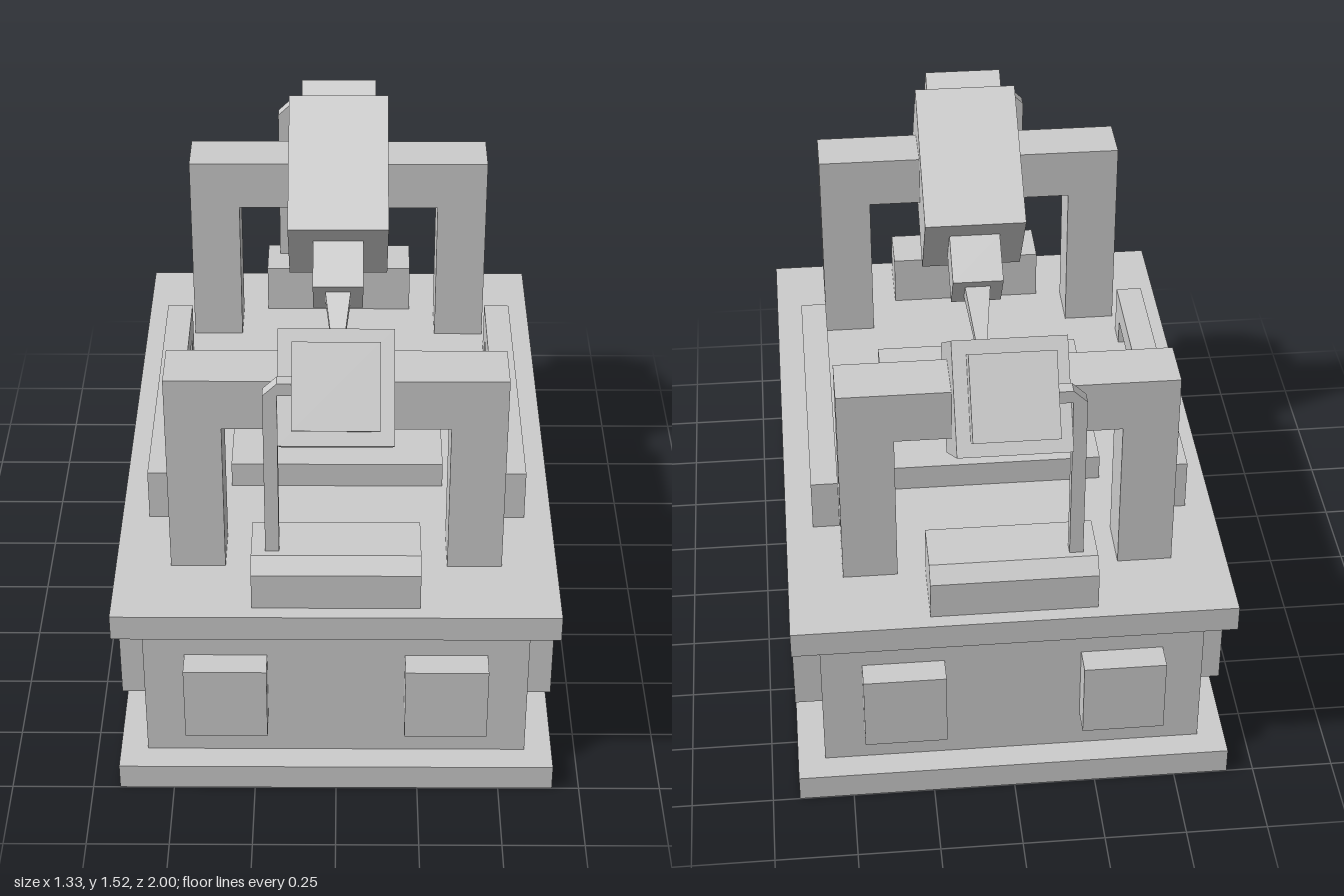
import * as THREE from 'three';

const material = new THREE.MeshStandardMaterial({ color: 0xcccccc, flatShading: true });

function add(parent, name, geometry, x = 0, y = 0, z = 0) {
  const mesh = new THREE.Mesh(geometry, material);
  mesh.name = name;
  mesh.position.set(x, y, z);
  parent.add(mesh);
  return mesh;
}

// Box given by its minimum and maximum on each axis
function block(parent, name, [x0, x1], [y0, y1], [z0, z1]) {
  const geometry = new THREE.BoxGeometry(x1 - x0, y1 - y0, z1 - z0);
  return add(parent, name, geometry, (x0 + x1) / 2, (y0 + y1) / 2, (z0 + z1) / 2);
}

// Flat outline in x/y pulled out along z
function prism(points, depth) {
  const shape = new THREE.Shape(points.map(([x, y]) => new THREE.Vector2(x, y)));
  return new THREE.ExtrudeGeometry(shape, { depth, bevelEnabled: false });
}

// Plinth, cabinet, table top and access panels
function createBase() {
  const base = new THREE.Group();
  base.name = 'base';
  block(base, 'plinth', [-0.667, 0.667], [0, 0.085], [-1, 1]);
  block(base, 'cabinet', [-0.583, 0.583], [0.085, 0.587], [-0.917, 0.917]);
  block(base, 'tableTop', [-0.667, 0.667], [0.587, 0.67], [-1, 1]);
  for (const s of [-1, 1]) {
    for (const z of [-0.667, 0, 0.667]) {
      add(base, 'sidePanel', new THREE.BoxGeometry(0.084, 0.25, 0.25), s * 0.625, 0.335, z);
    }
    for (const x of [-0.333, 0.333]) {
      add(base, 'endPanel', new THREE.BoxGeometry(0.25, 0.25, 0.084), x, 0.335, s * 0.958);
    }
  }
  return base;
}

// Work slab and the two side rails on feet
function createWorkArea() {
  const area = new THREE.Group();
  area.name = 'workArea';
  block(area, 'workSlab', [-0.333, 0.333], [0.67, 0.753], [-0.333, 0.333]);
  const railOutline = [
    [-0.5, 0.67], [-0.42, 0.67], [-0.42, 0.753], [0.42, 0.753],
    [0.42, 0.67], [0.5, 0.67], [0.5, 0.835], [-0.5, 0.835],
  ];
  for (const x of [-0.583, 0.5]) {
    const rail = add(area, 'sideRail', prism(railOutline, 0.083), x, 0, 0);
    rail.rotation.y = Math.PI / 2;
  }
  return area;
}

// One tool station facing the centre, with its cable on the given side
function createStation(cableSide) {
  const station = new THREE.Group();
  station.name = 'toolStation';

  // Portal frame
  const portal = [
    [-0.5, 0.67], [-0.335, 0.67], [-0.335, 1.17], [0.335, 1.17],
    [0.335, 0.67], [0.5, 0.67], [0.5, 1.335], [-0.5, 1.335],
  ];
  add(station, 'portalFrame', prism(portal, 0.167), 0, 0, 0.583);

  // Tilted head: local +z points up and outwards
  const head = new THREE.Group();
  head.name = 'toolHead';
  head.position.set(0, 1.23, 0.635);
  head.rotation.x = -THREE.MathUtils.degToRad(35);
  station.add(head);
  add(head, 'housing', new THREE.BoxGeometry(0.333, 0.333, 0.5));
  add(head, 'rearCap', new THREE.BoxGeometry(0.25, 0.25, 0.083), 0, 0, 0.2915);
  add(head, 'nozzleBlock', new THREE.BoxGeometry(0.167, 0.167, 0.167), 0, 0, -0.3335);

  // Square pyramid tip
  const tip = new THREE.ConeGeometry(0.042 * Math.SQRT2, 0.333, 4);
  tip.rotateY(Math.PI / 4).rotateX(-Math.PI / 2);
  add(head, 'tip', tip, 0, 0, -0.5835);

  // Chamfered supply box behind the portal
  const supply = [[-0.75, 0.67], [-0.75, 0.835], [-0.915, 0.835], [-0.955, 0.79], [-0.955, 0.67]];
  const box = add(station, 'supplyBox', prism(supply, 0.5), -0.25, 0, 0);
  box.rotation.y = Math.PI / 2;

  // Cable duct bending into the rear cap
  const duct = [
    [0.208, 0.835], [0.208, 1.38], [0.167, 1.42], [0.125, 1.42],
    [0.125, 1.38], [0.167, 1.38], [0.167, 0.835],
  ].map(([x, y]) => [x * cableSide, y]);
  add(station, 'cableDuct', prism(duct, 0.04), 0, 0, 0.855);
  return station;
}

export function createModel() {
  const model = new THREE.Group();
  model.name = 'machine';
  const front = createStation(-1);
  const back = createStation(1);
  back.rotation.y = Math.PI;
  model.add(createBase(), createWorkArea(), front, back);
  return model;
}
